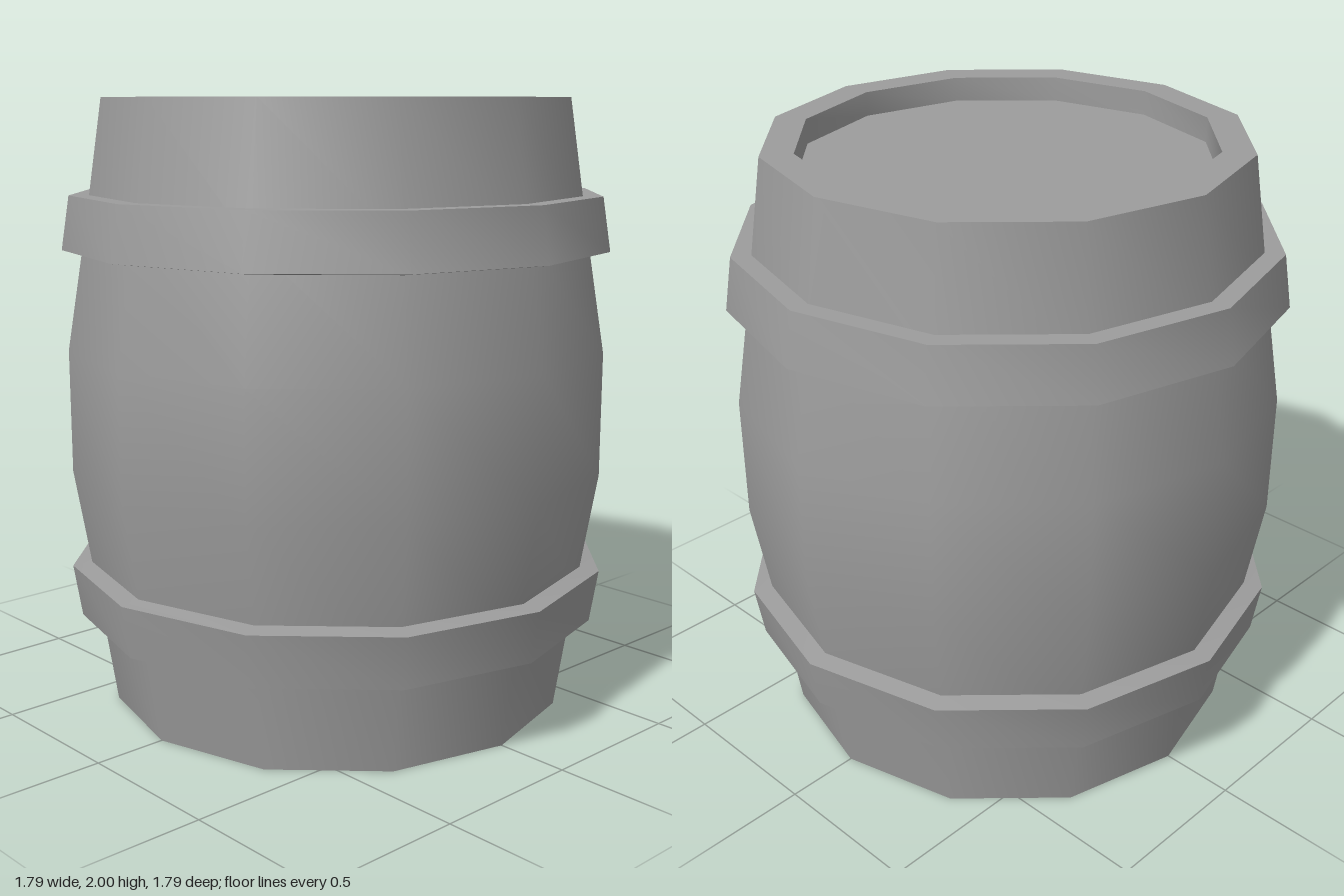
import * as THREE from 'three';
import { toCreasedNormals } from 'three/addons/utils/BufferGeometryUtils.js';

const SIDES = 12;
const material = new THREE.MeshStandardMaterial({ color: 0x9c9c9c });

// Twelve-sided turned part: smooth around the barrel, sharp at the rims
function turned(name, profile) {
  const points = profile.map(([r, y]) => new THREE.Vector2(r, y));
  const geometry = toCreasedNormals(new THREE.LatheGeometry(points, SIDES), 0.7);
  const mesh = new THREE.Mesh(geometry, material);
  mesh.name = name;
  return mesh;
}

export function createModel() {
  const barrel = new THREE.Group();
  barrel.name = 'barrel';

  // Bulging staves, closed below, with a raised rim around the sunken lid
  barrel.add(turned('body', [
    [0, 0], [0.76, 0], [0.82, 0.4], [0.886, 0.8],
    [0.886, 1.2], [0.82, 1.6], [0.76, 2], [0.656, 2], [0.656, 1.92],
  ]));
  barrel.add(turned('lid', [[0.656, 1.92], [0, 1.92]]));

  // Hoops follow the slope of the staves; the upper one mirrors the lower
  const hoop = [[0.79, 0.305], [0.87, 0.305], [0.897, 0.477], [0.82, 0.488]];
  barrel.add(turned('lowerHoop', hoop));
  barrel.add(turned('upperHoop', hoop.map(([r, y]) => [r, 2 - y]).reverse()));

  return barrel;
}
